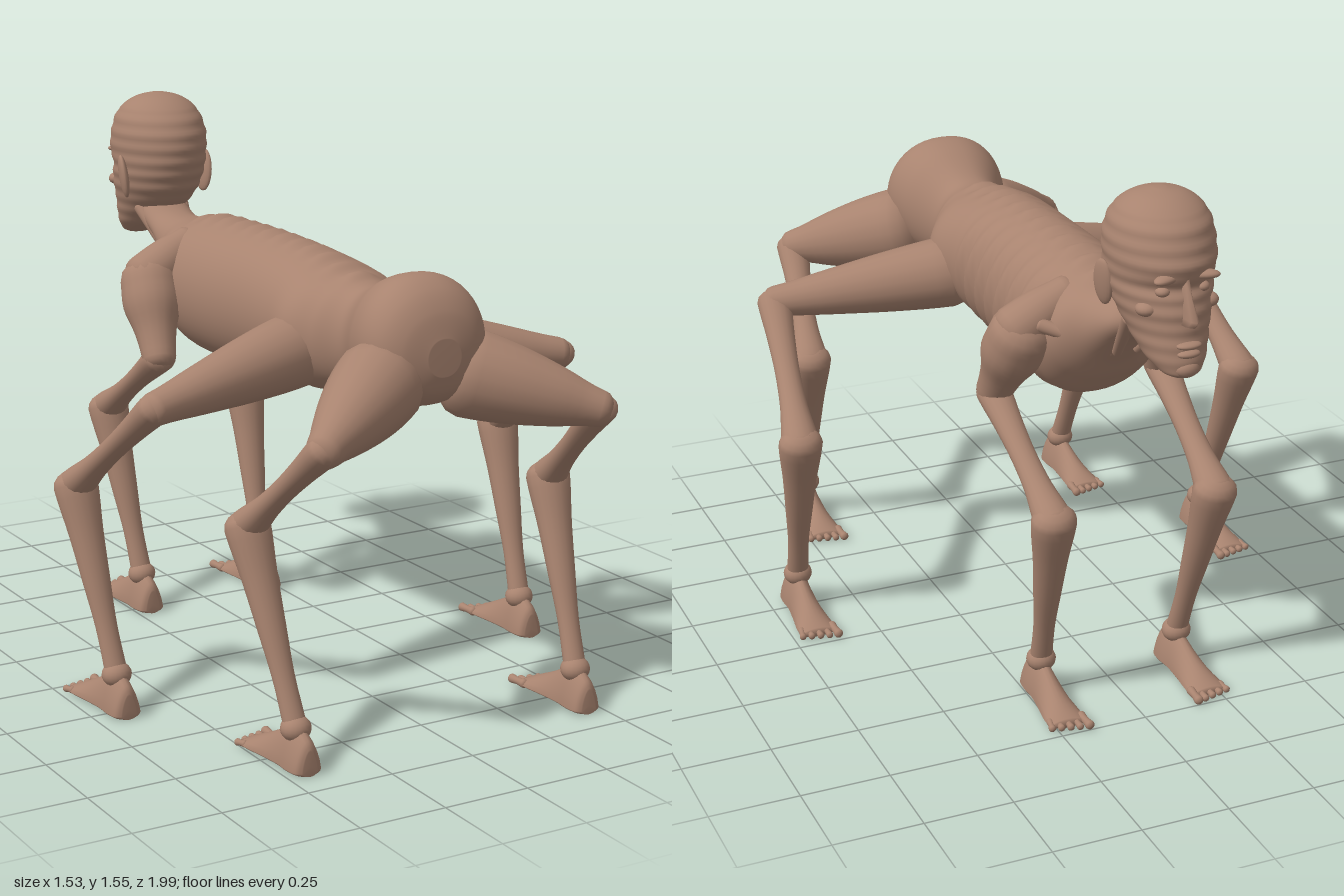
import * as THREE from 'three';

const skin = new THREE.MeshStandardMaterial({ color: 0xa8836f });
skin.name = 'skin';
const V = (x, y, z) => new THREE.Vector3(x, y, z);

// Smooth resampling of a table of rows
function resample(rows, steps) {
  const n = rows.length - 1, out = [];
  const r = j => rows[Math.max(0, Math.min(n, j))];
  for (let i = 0; i <= n * steps; i++) {
    const k = Math.min(Math.floor(i / steps), n - 1), t = i / steps - k;
    out.push(rows[0].map((_, c) => {
      const a = r(k - 1)[c], b = r(k)[c], d = r(k + 1)[c], e = r(k + 2)[c];
      return b + 0.5 * t * (d - a + t * (2 * a - 5 * b + 4 * d - e + t * (3 * (b - d) + e - a)));
    }));
  }
  return out;
}

// Closed skin through rings of points, always wound outwards
function loft(rings) {
  const m = rings[0].length, pts = rings.flat(), idx = [];
  for (let i = 0; i < rings.length - 1; i++) for (let j = 0; j < m; j++) {
    const a = i * m + j, b = i * m + (j + 1) % m;
    idx.push(a, b, a + m, b, b + m, a + m);
  }
  const mid = r => r.reduce((s, p) => s.add(p), V(0, 0, 0)).divideScalar(m);
  const c0 = pts.length, last = (rings.length - 1) * m;
  pts.push(mid(rings[0]), mid(rings[rings.length - 1]));
  for (let j = 0; j < m; j++) {
    const k = (j + 1) % m;
    idx.push(c0, k, j, c0 + 1, last + j, last + k);
  }
  let volume = 0;
  for (let i = 0; i < idx.length; i += 3)
    volume += pts[idx[i]].dot(V(0, 0, 0).crossVectors(pts[idx[i + 1]], pts[idx[i + 2]]));
  if (volume < 0) idx.reverse();
  const g = new THREE.BufferGeometry().setFromPoints(pts);
  g.setIndex(idx);
  g.computeVertexNormals();
  return g;
}

function add(group, name, geo) {
  const mesh = new THREE.Mesh(geo, skin);
  mesh.name = name;
  group.add(mesh);
  return mesh;
}

// Rounded limb from a to b with radii spread along it; depth flattens it
function limb(group, name, a, b, radii, depth = 1) {
  const len = a.distanceTo(b), r0 = radii[0], r1 = radii[radii.length - 1];
  const profile = [];
  for (let i = 0; i < 4; i++) {
    const t = i / 4 * Math.PI / 2;
    profile.push(new THREE.Vector2(r0 * Math.sin(t), -r0 * 0.7 * Math.cos(t)));
  }
  const body = resample(radii.map(r => [r]), 4);
  body.forEach(([r], i) => profile.push(new THREE.Vector2(r, len * i / (body.length - 1))));
  for (let i = 1; i <= 4; i++) {
    const t = i / 4 * Math.PI / 2;
    profile.push(new THREE.Vector2(r1 * Math.cos(t), len + r1 * 0.7 * Math.sin(t)));
  }
  const mesh = add(group, name, new THREE.LatheGeometry(profile, 18));
  const y = b.clone().sub(a).normalize();
  const x = V(1, 0, 0).addScaledVector(y, -y.x).normalize();
  mesh.quaternion.setFromRotationMatrix(new THREE.Matrix4().makeBasis(x, y, V(0, 0, 0).crossVectors(x, y)));
  mesh.position.copy(a);
  mesh.scale.z = depth;
}

function blob(group, name, p, rx, ry, rz) {
  const mesh = add(group, name, new THREE.SphereGeometry(1, 18, 12));
  mesh.position.copy(p);
  mesh.scale.set(rx, ry, rz);
  return mesh;
}

// Torso and neck: z, top, bottom, half width
function torso() {
  const rows = resample([
    [0.84, 1.09, 0.99, 0.05], [0.82, 1.16, 0.94, 0.12], [0.78, 1.215, 0.905, 0.165],
    [0.72, 1.243, 0.89, 0.18], [0.64, 1.23, 0.885, 0.165], [0.51, 1.175, 0.885, 0.117],
    [0.42, 1.18, 0.865, 0.16], [0.33, 1.195, 0.85, 0.2], [0.2, 1.215, 0.845, 0.185],
    [0, 1.225, 0.832, 0.18], [-0.2, 1.225, 0.822, 0.187], [-0.38, 1.22, 0.835, 0.188],
    [-0.48, 1.2, 0.91, 0.17], [-0.56, 1.195, 1.0, 0.11], [-0.66, 1.2, 1.09, 0.082],
    [-0.76, 1.25, 1.14, 0.078], [-0.81, 1.28, 1.17, 0.07]], 14);
  return loft(rows.map(([z, top, bottom, w]) => Array.from({ length: 48 }, (_, j) => {
    const t = j / 48 * Math.PI * 2, c = Math.cos(t), s = Math.sin(t);
    const y = (top + bottom) / 2 + (top - bottom) / 2 * s;
    // Ribs on the left flank, vertebrae along the top
    const fade = THREE.MathUtils.smoothstep(z, -0.42, -0.3) * (1 - THREE.MathUtils.smoothstep(z, 0.12, 0.24));
    const rib = Math.max(0, c) * fade * 0.009 * Math.sin((z + 0.2 * (y - 1)) * 84);
    const spine = s > 0.95 && z < 0.45 && z > -0.5 ? 0.007 * (1 + Math.sin(z * 80)) * (s - 0.95) * 20 : 0;
    return V(Math.sign(c) * Math.pow(Math.abs(c), 0.9) * w + rib, y + spine, z);
  })));
}

// Head: y, back z, front z, half width
function skull() {
  const rows = resample([
    [1.552, -0.76, -0.79, 0.015], [1.54, -0.71, -0.84, 0.065], [1.515, -0.665, -0.885, 0.105],
    [1.48, -0.63, -0.92, 0.128], [1.43, -0.606, -0.94, 0.14], [1.38, -0.602, -0.952, 0.14],
    [1.335, -0.608, -0.935, 0.135], [1.3, -0.62, -0.945, 0.131], [1.26, -0.64, -0.953, 0.122],
    [1.22, -0.68, -0.955, 0.108], [1.18, -0.73, -0.96, 0.095], [1.14, -0.79, -0.964, 0.078],
    [1.11, -0.86, -0.962, 0.055], [1.097, -0.9, -0.95, 0.03]], 6);
  return loft(rows.map(([y, back, front, w]) => Array.from({ length: 36 }, (_, j) => {
    const t = j / 36 * Math.PI * 2;
    const wrinkle = 1 + (y < 1.5 ? 0.012 * Math.sin(y * 150) : 0);
    return V(w * wrinkle * Math.cos(t), y, (back + front) / 2 + (back - front) / 2 * wrinkle * Math.sin(t));
  })));
}

function head() {
  const g = new THREE.Group();
  g.name = 'head';
  add(g, 'skull', skull());
  // Nose from stacked sections: y, tip z, half width
  const nose = [[1.36, -0.95, 0.012], [1.31, -0.97, 0.014], [1.262, -1.0, 0.022], [1.243, -0.985, 0.027], [1.235, -0.95, 0.02]];
  add(g, 'nose', loft(nose.map(([y, tip, w]) => [
    V(-w, y, -0.92), V(-w * 0.5, y, tip + 0.012), V(0, y, tip), V(w * 0.5, y, tip + 0.012), V(w, y, -0.92)])));
  blob(g, 'upperLip', V(0, 1.188, -0.957), 0.035, 0.01, 0.02);
  blob(g, 'lowerLip', V(0, 1.165, -0.957), 0.032, 0.011, 0.018);
  blob(g, 'chin', V(0, 1.122, -0.945), 0.035, 0.025, 0.027);
  for (const s of [1, -1]) {
    blob(g, 'eye', V(s * 0.055, 1.325, -0.912), 0.02, 0.014, 0.02);
    blob(g, 'brow', V(s * 0.05, 1.362, -0.925), 0.045, 0.013, 0.022).rotation.y = s * 0.45;
    blob(g, 'cheekbone', V(s * 0.085, 1.275, -0.885), 0.03, 0.02, 0.03);
    blob(g, 'ear', V(s * 0.138, 1.305, -0.74), 0.014, 0.066, 0.034).rotation.set(-0.1, s * 0.3, s * -0.1);
  }
  return g;
}

// Foot pointing to -z, with its ankle above the origin: z, top, half width
function foot() {
  const g = new THREE.Group();
  g.name = 'foot';
  const rows = resample([[0.072, 0.07, 0.022], [0.06, 0.095, 0.04], [0.02, 0.118, 0.045], [-0.03, 0.105, 0.042],
    [-0.1, 0.07, 0.048], [-0.17, 0.038, 0.056], [-0.205, 0.022, 0.05]], 4);
  const rings = rows.map(([z, top, w]) => Array.from({ length: 20 }, (_, j) => {
    const t = j / 20 * Math.PI * 2, s = Math.sin(t);
    const y = s < 0 ? 0.012 * (1 + s) : 0.012 + (top - 0.012) * s;
    return V(w * Math.cos(t) * (s > 0 ? 1 - 0.25 * s : 1), y, z);
  }));
  add(g, 'sole', loft(rings));
  for (let i = 0; i < 5; i++) {
    const x = -0.046 + i * 0.023, r = i === 0 ? 0.013 : 0.01;
    limb(g, 'toe', V(x, 0.014, -0.18), V(x * 1.1, r, -0.235 + i * 0.006), [r, r * 0.8, r]);
  }
  return g;
}

// Joints of the left legs from the body down, and thigh radii
const legs = [
  { name: 'rearLeg', joints: [[0.14, 0.965, 0.74], [0.425, 0.875, 0.945], [0.478, 0.61, 0.645], [0.445, 0.11, 0.84]], thigh: [0.122, 0.108, 0.082, 0.05] },
  { name: 'middleLeg', joints: [[0.15, 0.97, 0.31], [0.645, 0.9, 0.45], [0.7, 0.61, 0.075], [0.67, 0.11, 0.25]], thigh: [0.105, 0.09, 0.068, 0.046] },
  { name: 'frontLeg', joints: [[0.225, 1.055, -0.405], [0.255, 0.84, -0.285], [0.24, 0.61, -0.665], [0.21, 0.11, -0.51]], thigh: [0.085, 0.086, 0.062, 0.05] },
];

function leg({ name, joints, thigh }, s) {
  const g = new THREE.Group();
  g.name = name;
  const [hip, knee, hock, ankle] = joints.map(p => V(s * p[0], p[1], p[2]));
  limb(g, 'thigh', hip, knee, thigh);
  limb(g, 'shin', knee, hock, [0.05, 0.041, 0.036, 0.04, 0.055], 0.85);
  limb(g, 'calf', hock, ankle, [0.064, 0.05, 0.04, 0.031, 0.032], 0.85);
  blob(g, 'ankle', ankle, 0.042, 0.035, 0.04);
  const f = foot();
  f.position.set(ankle.x, 0, ankle.z);
  f.scale.x = s;
  f.rotation.y = -s * 0.03;
  g.add(f);
  return g;
}

export function createModel() {
  const model = new THREE.Group();
  model.name = 'sixLeggedCreature';
  add(model, 'torso', torso());
  model.add(head());
  for (const s of [1, -1]) {
    legs.forEach(l => model.add(leg(l, s)));
    // Shoulder slope, collarbone and neck tendon
    limb(model, 'shoulder', V(s * 0.09, 1.15, -0.41), V(s * 0.24, 1.06, -0.4), [0.05, 0.065, 0.07]);
    limb(model, 'collarbone', V(s * 0.03, 1.03, -0.57), V(s * 0.19, 1.09, -0.46), [0.014, 0.016, 0.02]);
    limb(model, 'neckTendon', V(s * 0.03, 1.04, -0.6), V(s * 0.072, 1.2, -0.76), [0.014, 0.018, 0.02]);
  }
  return model;
}
